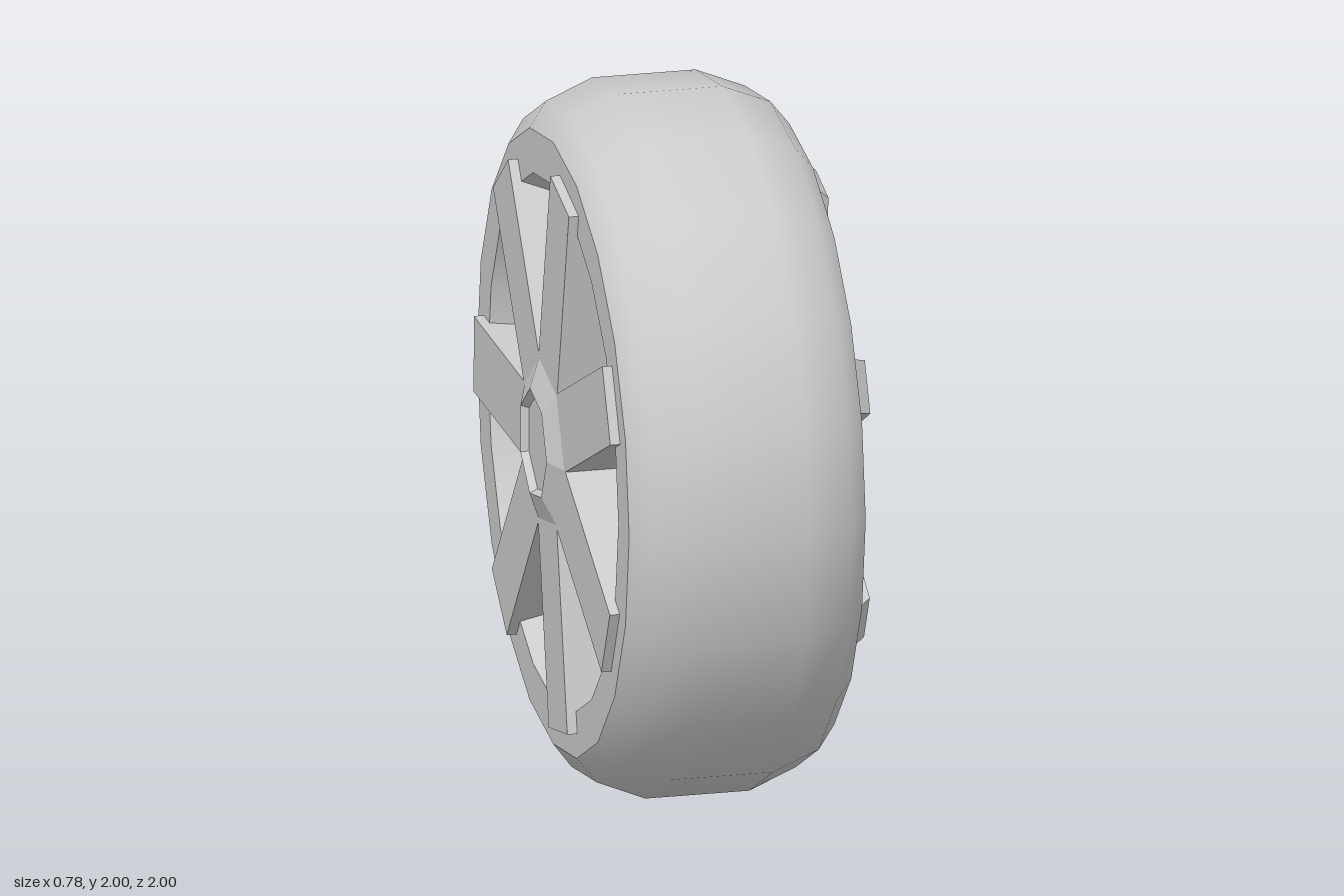
import * as THREE from 'three';

const SPOKES = 7;
const STEP = (Math.PI * 2) / SPOKES;
const smooth = new THREE.MeshStandardMaterial({ color: 0xcccccc, side: THREE.DoubleSide });
const flat = new THREE.MeshStandardMaterial({ color: 0xcccccc, side: THREE.DoubleSide, flatShading: true });

function part(name, geometry, material, parent) {
  const mesh = new THREE.Mesh(geometry, material);
  mesh.name = name;
  parent.add(mesh);
  return mesh;
}

// Revolves [radius, x] points around the x axis
function revolve(points, sides, start = 0) {
  const profile = points.map(([r, x]) => new THREE.Vector2(r, x));
  return new THREE.LatheGeometry(profile, sides, start).rotateZ(-Math.PI / 2);
}

// Tapered spoke along +y from cross-sections [radius, half width top, x top, half width base, x base]
function spokeGeometry() {
  const sections = [
    [0.19, 0.09, 0.372, 0.092, 0.15],
    [0.22, 0.104, 0.39, 0.106, 0.15],
    [0.45, 0.092, 0.39, 0.112, 0.22],
    [0.775, 0.075, 0.39, 0.08, 0.3],
    [0.81, 0.075, 0.352, 0.078, 0.3],
  ];
  const positions = [];
  const index = [];
  for (const [r, wTop, xTop, wBase, xBase] of sections) {
    positions.push(xTop, r, wTop, xTop, r, -wTop, xBase, r, -wBase, xBase, r, wBase);
  }
  for (let s = 0; s < sections.length - 1; s++) {
    for (let k = 0; k < 4; k++) {
      const a = s * 4 + k, b = s * 4 + ((k + 1) % 4);
      index.push(a, b, b + 4, a, b + 4, a + 4);
    }
  }
  const e = (sections.length - 1) * 4;
  index.push(0, 2, 1, 0, 3, 2, e, e + 1, e + 2, e, e + 2, e + 3);
  const geometry = new THREE.BufferGeometry();
  geometry.setAttribute('position', new THREE.Float32BufferAttribute(positions, 3));
  geometry.setIndex(index);
  geometry.computeVertexNormals();
  return geometry;
}

// Deep star with parallel-sided arms, from x = -0.36 inwards
function starGeometry(depth) {
  const half = 0.11;
  const valley = half / Math.sin(STEP / 2);
  const shape = new THREE.Shape();
  for (let i = 0; i < SPOKES; i++) {
    const a = i * STEP;
    const place = (u, v) => [u * Math.cos(a) - v * Math.sin(a), u * Math.sin(a) + v * Math.cos(a)];
    const corner = place(half, valley * Math.cos(STEP / 2));
    if (i === 0) shape.moveTo(...corner); else shape.lineTo(...corner);
    shape.lineTo(...place(half, 0.8));
    shape.lineTo(...place(-half, 0.8));
  }
  shape.closePath();
  return new THREE.ExtrudeGeometry(shape, { depth, bevelEnabled: false })
    .rotateY(-Math.PI / 2).translate(depth - 0.36, 0, 0);
}

export function createModel() {
  const model = new THREE.Group();
  model.name = 'wheel';
  const wheel = new THREE.Group();
  wheel.name = 'wheelAssembly';
  wheel.position.y = 1;
  model.add(wheel);

  // Tyre: rounded tread and flat sidewall rings
  part('tyreTread', revolve([
    [0.875, -0.332], [0.945, -0.28], [1, -0.145], [1, 0.15], [0.945, 0.287], [0.875, 0.342],
  ], 20), smooth, wheel);
  part('outerSidewall', revolve([[0.875, 0.342], [0.75, 0.342]], 20), smooth, wheel);
  part('innerSidewall', revolve([[0.75, -0.332], [0.875, -0.332]], 20), smooth, wheel);

  // Dished outer disc standing slightly proud of the sidewall
  part('dishEdge', revolve([[0.75, 0.335], [0.75, 0.362]], 20), smooth, wheel);
  part('dish', revolve([[0.75, 0.362], [0.2, 0.2], [0, 0.19]], 20), smooth, wheel);

  // Stepped barrel and its floor on the inner side
  part('rimBarrel', revolve([
    [0.7, -0.06], [0.69, -0.2], [0.72, -0.26], [0.75, -0.332],
  ], 20), smooth, wheel);
  part('barrelFloor', revolve([[0, -0.06], [0.7, -0.06]], 20), smooth, wheel);

  const spokes = new THREE.Group();
  spokes.name = 'spokes';
  spokes.rotation.x = THREE.MathUtils.degToRad(13.5);
  wheel.add(spokes);

  // Outer spokes
  const spoke = spokeGeometry();
  for (let i = 0; i < SPOKES; i++) {
    part('outerSpoke', spoke, flat, spokes).rotation.x = i * STEP;
  }

  // Seven-sided hubs with recessed centres, and the inner spokes
  const start = Math.PI * 1.5 + STEP / 2;
  part('outerHub', revolve([
    [0.225, 0.15], [0.225, 0.365], [0.212, 0.38], [0.157, 0.38], [0.145, 0.362], [0, 0.362],
  ], SPOKES, start), flat, spokes);
  part('innerSpokes', starGeometry(0.3), flat, spokes);
  part('innerHub', revolve([
    [0, -0.368], [0.145, -0.368], [0.157, -0.39], [0.24, -0.36],
  ], SPOKES, start), flat, spokes);

  // Small valve stem in the dish
  const valve = part('valveStem', new THREE.CylinderGeometry(0.022, 0.022, 0.06, 6).rotateZ(-Math.PI / 2), flat, wheel);
  valve.position.set(0.28, -0.29, -0.39);

  return model;
}
